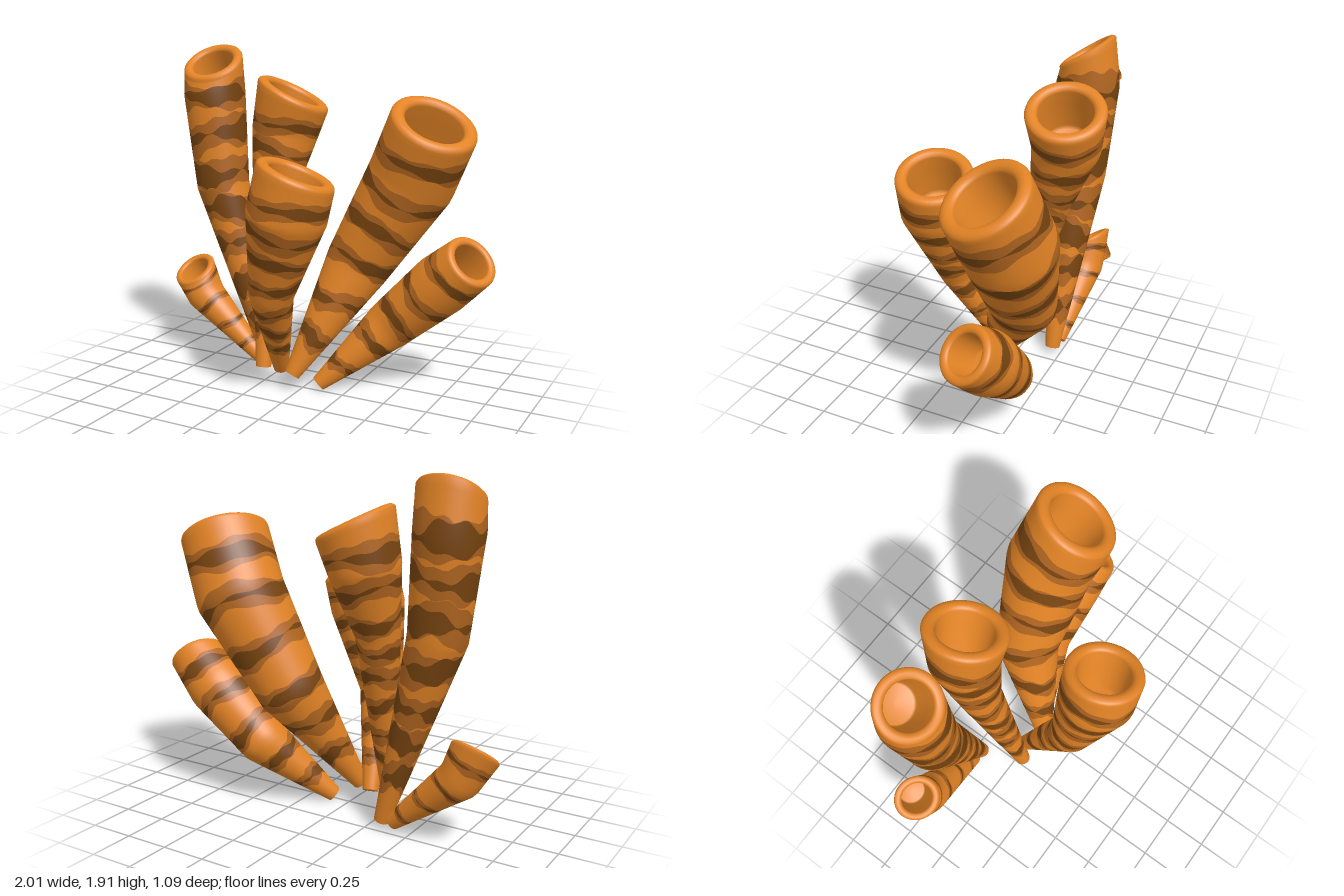
import * as THREE from 'three';

const SIDES = 48;
const ORANGE = 0, TAN = 1, DARK = 2;
const FOOT_RADIUS = 0.044;

// foot: [x, y, z]; rings: [x, y, z, radius] up to the mouth; tilt: mouth lean in x and z
const TUBES = [
  { name: 'smallLeftTube', foot: [-0.4, 0.04, -0.21], tilt: [-0.2, 0.55], stripes: 4, dark: 0.012,
    rings: [[-0.79, 0.37, -0.22, 0.115], [-0.87, 0.52, -0.22, 0.132]] },
  { name: 'tallLeftTube', foot: [-0.33, 0.03, -0.2], tilt: [0, 0.55], stripes: 7, dark: 0.03,
    rings: [[-0.645, 1.08, -0.21, 0.155], [-0.7, 1.62, -0.22, 0.18], [-0.7, 1.79, -0.21, 0.178]] },
  { name: 'rearTube', foot: [-0.23, 0.09, 0.05], tilt: [0.43, -0.1], stripes: 8, dark: 0.016,
    rings: [[-0.285, 1.05, -0.18, 0.12], [-0.26, 1.4, -0.27, 0.19], [-0.21, 1.62, -0.28, 0.22]] },
  { name: 'frontTube', foot: [-0.14, 0.085, 0], tilt: [0.35, -0.1], stripes: 7, dark: 0.017,
    rings: [[-0.05, 0.6, 0.27, 0.122], [0.08, 1.06, 0.335, 0.215], [0.13, 1.27, 0.33, 0.215]] },
  { name: 'largeTube', foot: [-0.03, 0.085, 0.075], tilt: [0.45, 0.3], stripes: 6, dark: 0.018,
    rings: [[0.22, 0.68, -0.24, 0.185], [0.515, 1.19, -0.295, 0.247], [0.66, 1.5, -0.235, 0.243]] },
  { name: 'lowRightTube', foot: [0.09, 0.02, -0.02], tilt: [0.68, 0.33], stripes: 5, dark: 0.02,
    rings: [[0.42, 0.35, -0.24, 0.14], [0.72, 0.63, -0.26, 0.172], [0.89, 0.78, -0.235, 0.155]] },
];

// Point on a ring, with its radius scaled by k and raised along its axis by lift radii
function ringPoint(ring, u, k = 1, lift = 0) {
  const b = new THREE.Vector3(0, 0, 1).addScaledVector(ring.n, -ring.n.z).normalize();
  const a = b.clone().cross(ring.n);
  return ring.c.clone().addScaledVector(a, Math.cos(u) * ring.r * k)
    .addScaledVector(b, Math.sin(u) * ring.r * k).addScaledVector(ring.n, lift * ring.r);
}

function makeRings({ foot, rings, tilt: [nx, nz] }) {
  const data = [[...foot, FOOT_RADIUS], ...rings];
  const centres = data.map(([x, y, z]) => new THREE.Vector3(x, y, z));
  const last = centres.length - 1;
  const along = (i) => centres[i + 1].clone().sub(centres[i]).normalize();
  let length = 0;
  const result = centres.map((c, i) => {
    if (i) length += c.distanceTo(centres[i - 1]);
    const n = i === last ? new THREE.Vector3(nx, Math.sqrt(1 - nx * nx - nz * nz), nz) : along(i);
    if (i > 0 && i < last) n.add(along(i - 1));
    return { c, n: n.normalize(), r: data[i][3], t: length };
  });
  result.forEach((ring) => { ring.t /= length; });
  return result;
}

// Point on the outer wall at fraction t of the length
function wallPoint(rings, t, u) {
  let i = 0;
  while (i < rings.length - 2 && t > rings[i + 1].t) i++;
  const f = (t - rings[i].t) / (rings[i + 1].t - rings[i].t);
  return ringPoint(rings[i], u).lerp(ringPoint(rings[i + 1], u), f);
}

// Wavy stripe borders along the tube for one angle
function borders({ stripes, dark }, u, seed) {
  const list = [0];
  for (let k = 0; k < stripes; k++) {
    const s = seed * 2.1 + k * 1.7;
    const t = THREE.MathUtils.lerp(0.16, 0.9, k / (stripes - 1));
    const mid = t + 0.014 * Math.sin(u + s) + 0.006 * Math.sin(3 * u + s * 2);
    const d = Math.max(0.0005, dark * (0.8 + 0.6 * Math.sin(2 * u + s * 1.3) + 0.25 * Math.sin(7 * u + s)));
    const tan = dark + 0.02;
    const lo = tan * (1 + 0.25 * Math.sin(3 * u + s) + 0.1 * Math.sin(8 * u + s));
    const hi = tan * (1 + 0.25 * Math.sin(2 * u - s) + 0.1 * Math.sin(9 * u - s));
    list.push(mid - lo, mid - d, mid + d, mid + hi);
  }
  list.push(1);
  // keep the borders in order
  for (let i = 1; i < list.length - 1; i++) list[i] = Math.max(list[i], list[i - 1] + 0.001);
  for (let i = list.length - 2; i > 0; i--) list[i] = Math.min(list[i], list[i + 1] - 0.001);
  return list;
}

function makeTube(spec, seed, materials) {
  const rings = makeRings(spec);
  const angles = Array.from({ length: SIDES }, (_, j) => (j / SIDES) * Math.PI * 2);
  const edge = angles.map((u) => borders(spec, u, seed));
  const rows = [], colours = [];
  const addRow = (fn, colour) => { rows.push(angles.map(fn)); colours.push(colour); };

  // closed foot
  for (const k of [0, 0.97, 1]) addRow((u) => ringPoint(rings[0], u, k), ORANGE);

  // striped wall
  const cycle = [ORANGE, TAN, DARK, TAN];
  for (let k = 0; k < edge[0].length - 1; k++) {
    const steps = k % 4 === 0 ? 4 : 2;
    for (let s = 1; s <= steps; s++) {
      addRow((u, j) => wallPoint(rings, THREE.MathUtils.lerp(edge[j][k], edge[j][k + 1], s / steps), u), cycle[k % 4]);
    }
  }

  // rounded lip
  const top = rings[rings.length - 1];
  for (let s = 1; s <= 6; s++) {
    const a = (s / 6) * Math.PI;
    addRow((u) => ringPoint(top, u, 0.84 + 0.16 * Math.cos(a), 0.12 * Math.sin(a)), ORANGE);
  }
  // hollow and its floor
  for (const [k, lift] of [[0.65, -0.4], [0.6, -1.1], [0.55, -1.2], [0, -1.22]]) {
    addRow((u) => ringPoint(top, u, k, lift), ORANGE);
  }

  const geometry = new THREE.BufferGeometry().setFromPoints(rows.flat());
  const index = [];
  for (let i = 0; i < rows.length - 1; i++) {
    geometry.addGroup(index.length, SIDES * 6, colours[i + 1]);
    for (let j = 0; j < SIDES; j++) {
      const p = i * SIDES + j, q = i * SIDES + (j + 1) % SIDES;
      index.push(p, q, p + SIDES, q, q + SIDES, p + SIDES);
    }
  }
  geometry.setIndex(index);
  geometry.computeVertexNormals();
  const mesh = new THREE.Mesh(geometry, materials);
  mesh.name = spec.name;
  return mesh;
}

export function createModel() {
  const materials = [['orange', 0xe28325], ['tan', 0xb06520], ['darkBrown', 0x774410]].map(([name, color]) => {
    const material = new THREE.MeshStandardMaterial({ color });
    material.name = name;
    return material;
  });
  const group = new THREE.Group();
  group.name = 'tubeSpongeCluster';
  TUBES.forEach((spec, i) => group.add(makeTube(spec, i, materials)));
  return group;
}
